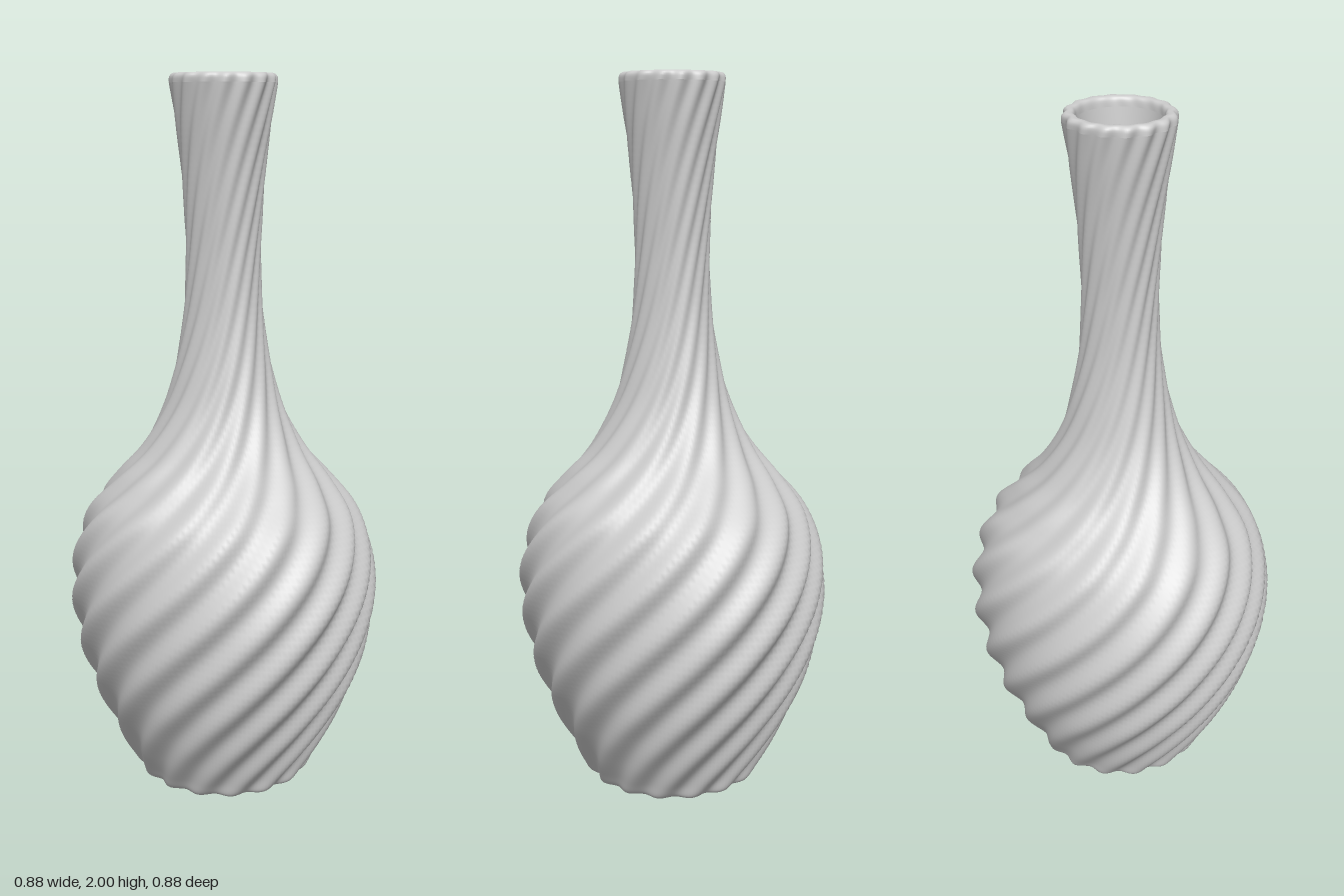
import * as THREE from 'three';
import { mergeVertices } from 'three/addons/utils/BufferGeometryUtils.js';

const FLUTES = 16;
const TWIST = THREE.MathUtils.degToRad(135); // turn per unit of height
const DEPTH = 0.035; // flute depth as a share of the radius
const SEGMENTS = 192;

const toPoints = (pairs) => pairs.map(([r, y]) => new THREE.Vector2(r, y));
const smooth = (pairs, steps) => new THREE.SplineCurve(toPoints(pairs)).getPoints(steps);

// Lathe a profile, then push its vertices in and out along twisted flutes.
// strength(t) fades the flutes along the profile, t running from 0 to 1.
function flutedLathe(points, strength) {
  const geometry = new THREE.LatheGeometry(points, SEGMENTS);
  const pos = geometry.attributes.position;
  for (let i = 0; i < pos.count; i++) {
    const x = pos.getX(i), y = pos.getY(i), z = pos.getZ(i);
    const t = (i % points.length) / (points.length - 1);
    const angle = Math.atan2(x, z) - TWIST * y;
    const scale = 1 + DEPTH * strength(t) * Math.cos(FLUTES * angle);
    pos.setXYZ(i, x * scale, y, z * scale);
  }
  // Weld the seam so the shading runs around smoothly
  geometry.deleteAttribute('uv');
  geometry.deleteAttribute('normal');
  const welded = mergeVertices(geometry, 1e-5);
  welded.computeVertexNormals();
  return welded;
}

export function createModel() {
  const vase = new THREE.Group();
  vase.name = 'twistedVase';
  const material = new THREE.MeshStandardMaterial({ color: 0xcccccc });
  const add = (name, geometry) => {
    const mesh = new THREE.Mesh(geometry, material);
    mesh.name = name;
    vase.add(mesh);
  };

  // Outer wall: rounded foot, full belly, slim neck, flared mouth
  const outer = smooth([
    [0.222, 0], [0.242, 0.012], [0.262, 0.05], [0.298, 0.12], [0.34, 0.21],
    [0.383, 0.32], [0.414, 0.44], [0.428, 0.57], [0.415, 0.69], [0.372, 0.8],
    [0.3, 0.89], [0.225, 0.98], [0.167, 1.09], [0.132, 1.21], [0.109, 1.35],
    [0.101, 1.5], [0.104, 1.63], [0.114, 1.77], [0.13, 1.9], [0.141, 1.975],
  ], 130);
  add('outerWall', flutedLathe(outer, () => 1));

  // Rounded rim: fluted outside, plain circle inside
  const rim = smooth([
    [0.141, 1.975], [0.141, 1.99], [0.134, 1.999], [0.125, 2],
    [0.117, 1.998], [0.112, 1.99], [0.11, 1.975],
  ], 18);
  add('rim', flutedLathe(rim, (t) => 1 - t));

  // Plain inner wall running down to the floor
  const inner = smooth([
    [0.11, 1.975], [0.1, 1.9], [0.084, 1.77], [0.075, 1.63], [0.072, 1.5],
    [0.08, 1.35], [0.102, 1.21], [0.137, 1.09], [0.192, 0.98], [0.265, 0.88],
    [0.337, 0.78], [0.38, 0.68], [0.393, 0.57], [0.38, 0.44], [0.35, 0.32],
    [0.306, 0.21], [0.263, 0.12], [0.23, 0.05],
  ], 60);
  add('innerWall', flutedLathe(inner, () => 0));
  add('floor', flutedLathe(toPoints([[0.23, 0.05], [0, 0.05]]), () => 0));

  // Flat underside following the fluted outline
  add('base', flutedLathe(toPoints([[0, 0], [0.222, 0]]), () => 1));

  return vase;
}
